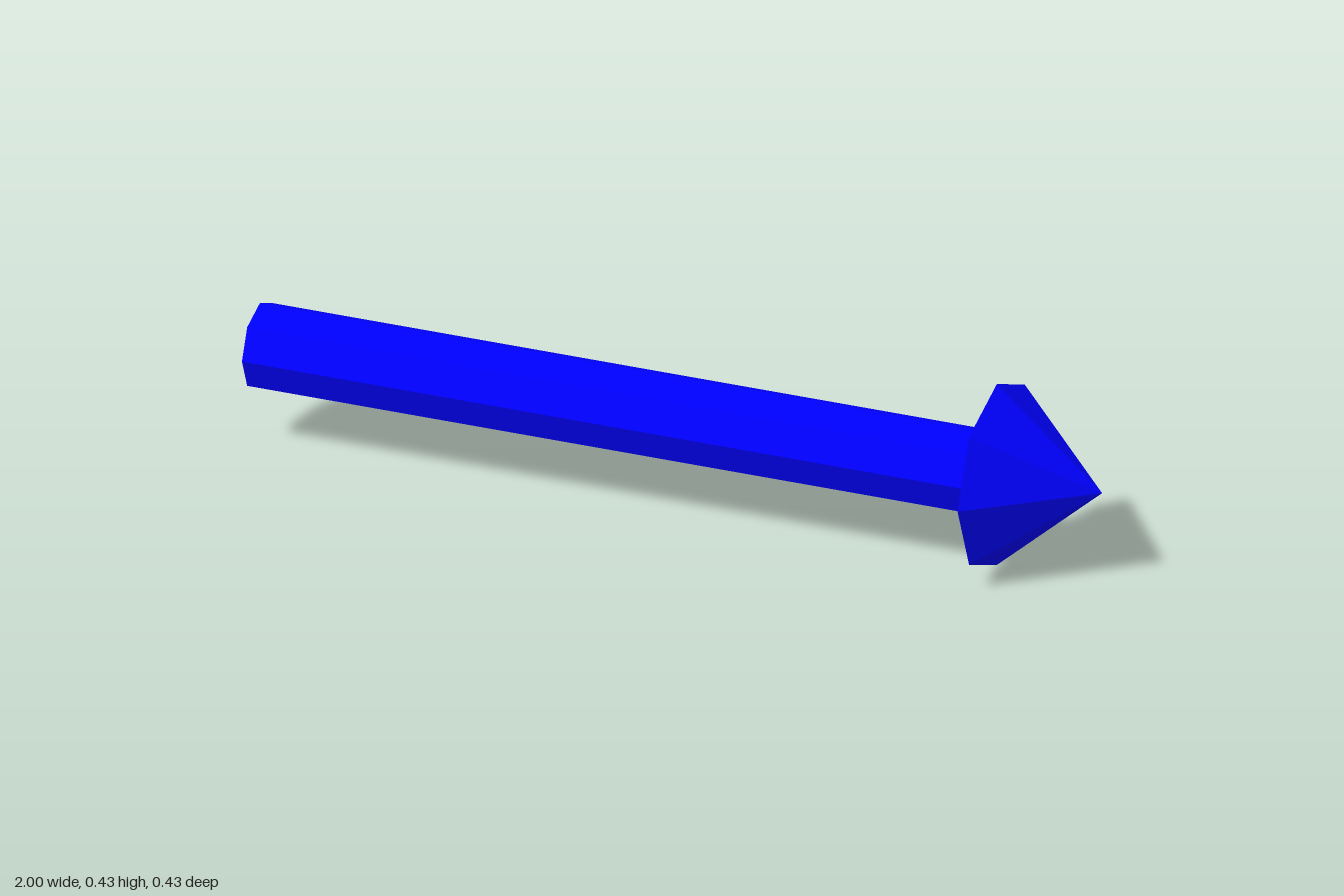
import * as THREE from 'three';

const SIDES = 8;
const AXIS_Y = 0.217;
const SHAFT_R = 0.099;
const HEAD_R = 0.216;

export function createModel() {
  const group = new THREE.Group();
  group.name = 'arrow';
  const blue = new THREE.MeshStandardMaterial({ color: 0x0000ff, flatShading: true });
  const red = new THREE.MeshStandardMaterial({ color: 0xff0000, flatShading: true });

  function add(name, geometry, material) {
    const mesh = new THREE.Mesh(geometry, material);
    mesh.name = name;
    mesh.position.y = AXIS_Y;
    group.add(mesh);
    return mesh;
  }

  // Octagonal profile turned about the x axis; points are [x, radius]
  function turned(points) {
    const profile = points.map(([x, r]) => new THREE.Vector2(r, x));
    return new THREE.LatheGeometry(profile, SIDES).rotateZ(-Math.PI / 2);
  }

  // Long shaft
  add('shaft', turned([[-1, SHAFT_R], [0.735, SHAFT_R]]), blue);

  // Pointed head with a slightly swept-back rear face
  add('head', turned([[0.735, SHAFT_R], [0.75, HEAD_R], [1, 0]]), blue);

  // Two-coloured end cap at the tail, facing -x
  function halfCap(name, start, material) {
    const geometry = new THREE.CircleGeometry(SHAFT_R, SIDES / 2, start, Math.PI);
    add(name, geometry.rotateY(-Math.PI / 2), material).position.x = -1;
  }
  halfCap('tailCapRed', -Math.PI / 2, red);
  halfCap('tailCapBlue', Math.PI / 2, blue);

  return group;
}
